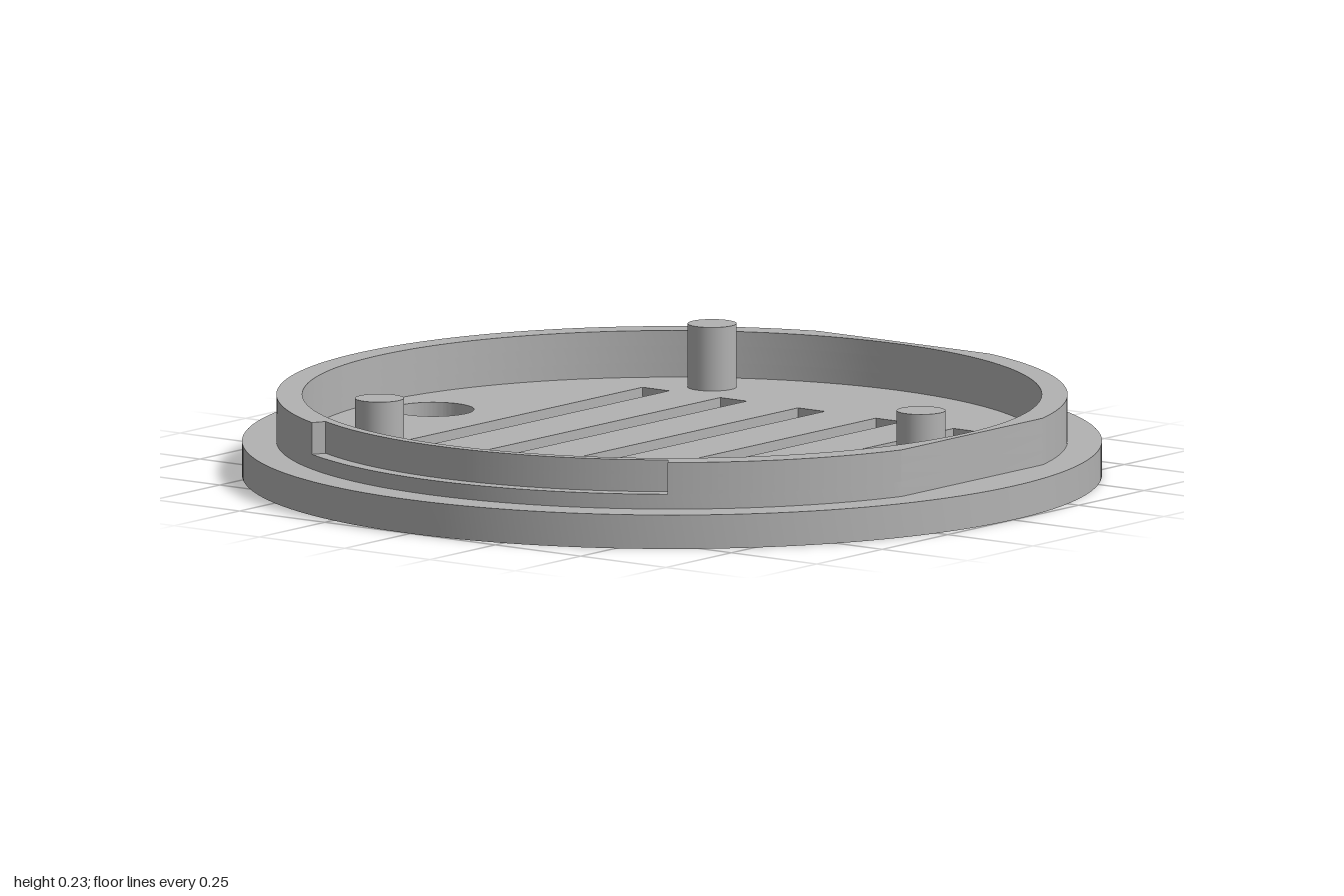
import * as THREE from 'three';
import { toCreasedNormals } from 'three/addons/utils/BufferGeometryUtils.js';

const OUTER = 0.92, INNER = 0.86, NOTCH = 0.885;
const deg = THREE.MathUtils.degToRad;

// Closed circular hole, centred at shape coordinates (x, y = -z)
function circle(x, y, r) {
  return new THREE.Path().absarc(x, y, r, 0, Math.PI * 2, true);
}

// Extrude a plan shape upward from y0 to y1
function slab(name, shape, y0, y1, material) {
  let geo = new THREE.ExtrudeGeometry(shape, { depth: y1 - y0, bevelEnabled: false, curveSegments: 72 });
  geo.rotateX(-Math.PI / 2);
  geo.translate(0, y0, 0);
  geo = toCreasedNormals(geo, 0.4);
  const mesh = new THREE.Mesh(geo, material);
  mesh.name = name;
  return mesh;
}

// Rim plan: arcs joined by straight chords where the rim is cut flat
function rimShape(hasNotch, hasSideFlat) {
  const s = new THREE.Shape();
  const arc = (r, a, b) => s.absarc(0, 0, r, deg(a), deg(b), false);
  const front = deg(270), frontHalf = THREE.MathUtils.radToDeg(Math.acos(0.88 / OUTER));
  const side = hasSideFlat ? THREE.MathUtils.radToDeg(Math.acos(0.885 / OUTER)) : 0;
  const frontDeg = THREE.MathUtils.radToDeg(front);
  if (hasNotch) {
    arc(OUTER, side, 152);
    arc(NOTCH, 152, 216.9);
    arc(OUTER, 216.9, frontDeg - frontHalf);
  } else {
    arc(OUTER, side, frontDeg - frontHalf);
  }
  arc(OUTER, frontDeg + frontHalf, 360 - side);
  s.holes.push(circle(0, 0, INNER));
  return s;
}

export function createModel() {
  const group = new THREE.Group();
  group.name = 'ventCover';
  const grey = new THREE.MeshStandardMaterial({ color: 0xb2b2b2 });
  grey.name = 'grey';

  // Base disc with a round hole and five vent slots
  const disc = new THREE.Shape().absarc(0, 0, 1, 0, Math.PI * 2, false);
  disc.holes.push(circle(0, 0.7, 0.095));
  for (let i = -2; i <= 2; i++) {
    const y = i * 0.228, w = 0.532, h = 0.039;
    const slot = new THREE.Path();
    slot.moveTo(-w, y - h).lineTo(-w, y + h).lineTo(w, y + h).lineTo(w, y - h).closePath();
    disc.holes.push(slot);
  }
  group.add(slab('baseDisc', disc, 0, 0.08, grey));

  // Rim: full ring, then the locking notch, then the side flat
  const rim = new THREE.Group();
  rim.name = 'rim';
  rim.add(slab('rimLower', rimShape(false, false), 0.08, 0.115, grey));
  rim.add(slab('rimMiddle', rimShape(true, false), 0.115, 0.155, grey));
  rim.add(slab('rimUpper', rimShape(true, true), 0.155, 0.19, grey));
  group.add(rim);

  // Three posts standing on the disc
  const postGeo = new THREE.CylinderGeometry(0.057, 0.057, 0.15, 40);
  for (const [name, x, z] of [['leftPost', 0.635, -0.37], ['rightPost', -0.635, -0.37], ['frontPost', 0, 0.73]]) {
    const post = new THREE.Mesh(postGeo, grey);
    post.name = name;
    post.position.set(x, 0.155, z);
    group.add(post);
  }
  return group;
}
